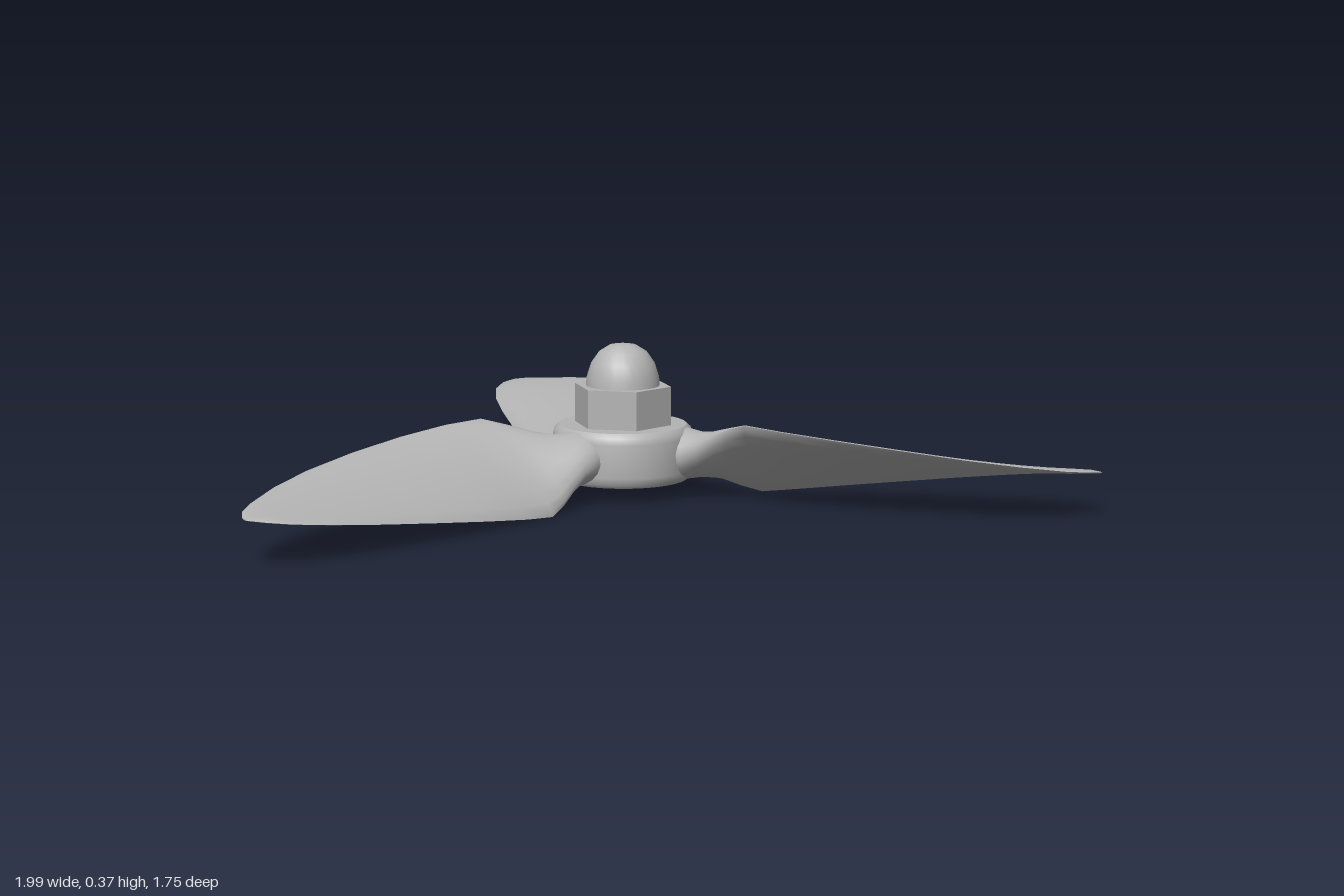
import * as THREE from 'three';
import { toCreasedNormals } from 'three/addons/utils/BufferGeometryUtils.js';

// Blade stations: radius, trailing x, leading x, low y, high y, thickness
const STATIONS = [
  [0.09, -0.07, 0.07, 0.11, 0.11, 0.125],
  [0.16, -0.075, 0.08, 0.1, 0.12, 0.125],
  [0.2, -0.07, 0.085, 0.075, 0.145, 0.105],
  [0.24, -0.073, 0.095, 0.05, 0.17, 0.08],
  [0.28, -0.082, 0.115, 0.025, 0.19, 0.058],
  [0.33, -0.095, 0.15, 0.007, 0.209, 0.04],
  [0.42, -0.105, 0.175, 0.016, 0.202, 0.034],
  [0.55, -0.11, 0.185, 0.032, 0.189, 0.03],
  [0.7, -0.108, 0.18, 0.051, 0.172, 0.026],
  [0.85, -0.103, 0.16, 0.07, 0.153, 0.021],
  [0.97, -0.093, 0.125, 0.086, 0.137, 0.017],
  [1.07, -0.07, 0.078, 0.099, 0.123, 0.012],
  [1.12, -0.04, 0.042, 0.106, 0.117, 0.008],
  [1.145, -0.008, 0.008, 0.109, 0.112, 0.003],
];

// Twisted blade pointing to -z, lofted through elliptical sections
function bladeGeometry(sides = 20) {
  const pos = [], index = [];
  for (const [r, x0, x1, y0, y1, t] of STATIONS) {
    const dx = (x1 - x0) / 2, dy = (y1 - y0) / 2, len = Math.hypot(dx, dy);
    for (let j = 0; j < sides; j++) {
      const a = (j / sides) * Math.PI * 2;
      const c = Math.cos(a), s = (Math.sin(a) * t) / 2 / len;
      pos.push((x0 + x1) / 2 + dx * c - dy * s, (y0 + y1) / 2 + dy * c + dx * s, -r);
    }
  }
  for (let i = 0; i < STATIONS.length - 1; i++) {
    for (let j = 0; j < sides; j++) {
      const a = i * sides + j, b = i * sides + ((j + 1) % sides);
      index.push(a, a + sides, b, b, a + sides, b + sides);
    }
  }
  // Tip cap
  const last = (STATIONS.length - 1) * sides;
  for (let j = 1; j < sides - 1; j++) index.push(last, last + j + 1, last + j);
  const geo = new THREE.BufferGeometry();
  geo.setAttribute('position', new THREE.Float32BufferAttribute(pos, 3));
  geo.setIndex(index);
  return toCreasedNormals(geo, 1.0);
}

function lathe(points, segments) {
  const profile = points.map(([x, y]) => new THREE.Vector2(x, y));
  return toCreasedNormals(new THREE.LatheGeometry(profile, segments), 0.7);
}

export function createModel() {
  const metal = new THREE.MeshStandardMaterial({ color: 0xb4b4b4 });
  metal.name = 'grey metal';
  const model = new THREE.Group();
  model.name = 'propeller';
  const add = (name, geometry, y = 0) => {
    const mesh = new THREE.Mesh(geometry, metal);
    mesh.name = name;
    mesh.position.set(0, y, 0.27);
    model.add(mesh);
    return mesh;
  };

  // Hub with the shaft hole underneath
  add('hub', lathe([
    [0.06, 0.176], [0.06, 0.045], [0.16, 0.045], [0.168, 0.054],
    [0.17, 0.07], [0.17, 0.15], [0.166, 0.166], [0.155, 0.176], [0.06, 0.176],
  ], 40));

  // Three blades around the hub
  const blade = bladeGeometry();
  for (let i = 0; i < 3; i++) add('blade' + (i + 1), blade).rotation.y = (i * Math.PI * 2) / 3;

  // Hex nut with a corner towards the front
  const nut = new THREE.CylinderGeometry(0.12, 0.12, 0.095, 6).toNonIndexed();
  nut.computeVertexNormals();
  add('nut', nut, 0.2225);

  // Rounded cap on the nut
  add('cap', lathe([
    [0.09, 0.262], [0.088, 0.29], [0.077, 0.325], [0.058, 0.352], [0.032, 0.368], [0, 0.373],
  ], 24));
  return model;
}
